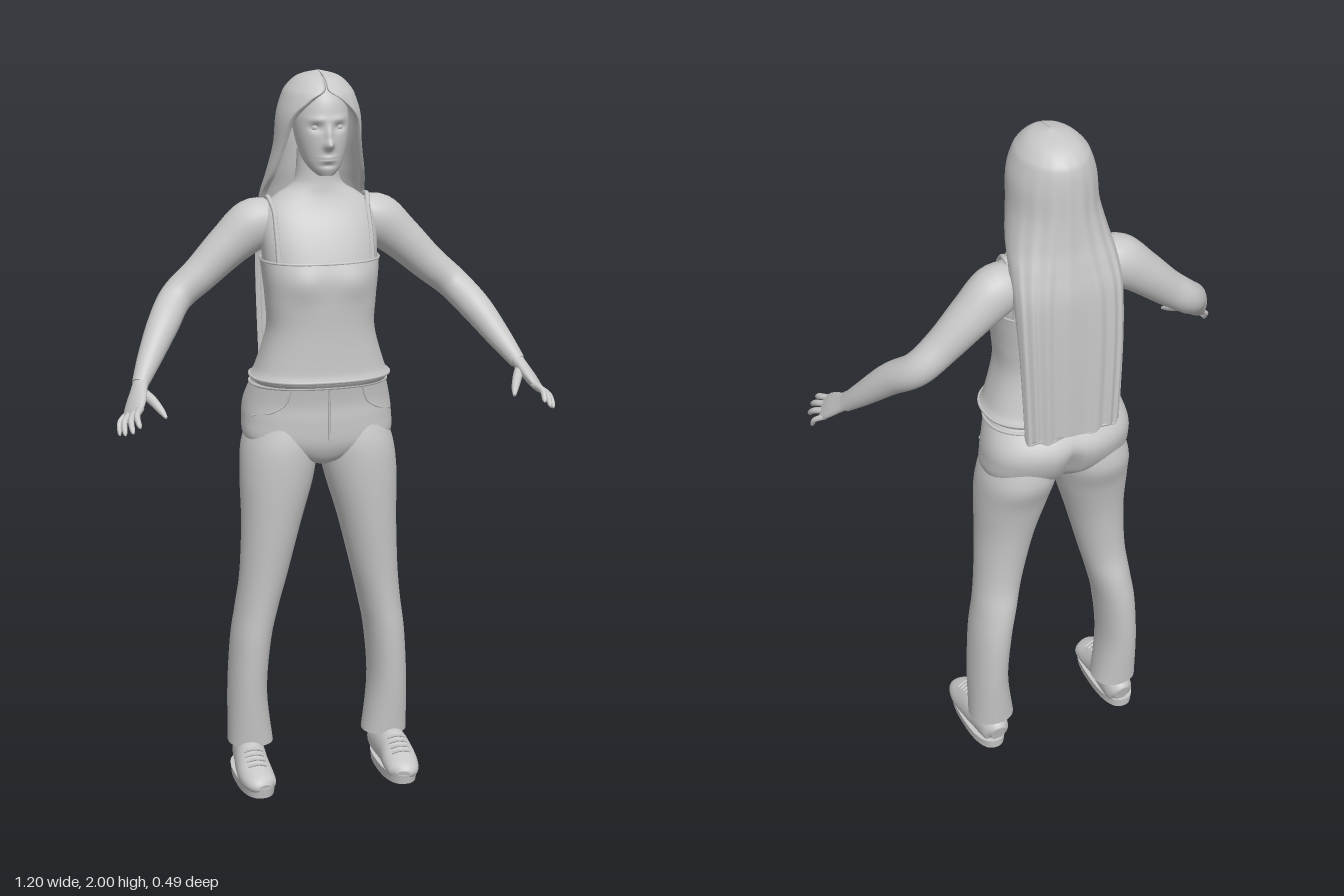
import * as THREE from 'three';

const V = (x, y, z) => new THREE.Vector3(x, y, z);
const bump = (x, y, cx, cy, sx, sy) => Math.exp(-(((x - cx) / sx) ** 2) - ((y - cy) / sy) ** 2);
const spow = (v, e) => Math.sign(v) * Math.abs(v) ** e;

// Smooth interpolation of a table of rows, t from 0 to 1
function sample(rows, t) {
  const f = Math.min(Math.max(t, 0), 1) * (rows.length - 1);
  const i = Math.min(Math.floor(f), rows.length - 2), k = f - i;
  const [a, b, c, d] = [-1, 0, 1, 2].map((o) => rows[Math.min(Math.max(i + o, 0), rows.length - 1)]);
  return b.map((_, n) => b[n] + 0.5 * k * (c[n] - a[n]
    + k * (2 * a[n] - 5 * b[n] + 4 * c[n] - d[n] + k * (3 * (b[n] - c[n]) + d[n] - a[n]))));
}

// Surface closed around u, with optional end caps
function skin(nu, nv, point, capped = true) {
  const pos = [], idx = [];
  for (let j = 0; j <= nv; j++)
    for (let i = 0; i < nu; i++) pos.push(...point(i / nu, j / nv).toArray());
  for (let j = 0; j < nv; j++)
    for (let i = 0; i < nu; i++) {
      const a = j * nu + i, b = j * nu + ((i + 1) % nu);
      idx.push(a, b, b + nu, a, b + nu, a + nu);
    }
  if (capped) for (const j of [0, nv]) {
    const ring = Array.from({ length: nu }, (_, i) => point(i / nu, j / nv));
    const base = pos.length / 3, mid = V(0, 0, 0);
    ring.forEach((p) => { mid.addScaledVector(p, 1 / nu); pos.push(...p.toArray()); });
    pos.push(...mid.toArray());
    for (let i = 0; i < nu; i++) {
      const a = base + i, b = base + ((i + 1) % nu);
      idx.push(...(j ? [a, b, base + nu] : [b, a, base + nu]));
    }
  }
  const g = new THREE.BufferGeometry();
  g.setAttribute('position', new THREE.Float32BufferAttribute(pos, 3));
  g.setIndex(idx);
  g.computeVertexNormals();
  return g;
}

// Upright loft, rows are [y, centre x, half width, front z, back z, squareness]
function ringPoint([y, cx, rx, zf, zb, p], a) {
  return V(cx + rx * spow(Math.sin(a), 2 / p), y, (zf + zb) / 2 + ((zf - zb) / 2) * spow(Math.cos(a), 2 / p));
}
const upright = (rows, nu, nv, warp = (p) => p, capped = true) =>
  skin(nu, nv, (u, v) => warp(ringPoint(sample(rows, v), u * Math.PI * 2)), capped);

// Row of an upright loft at a height, and the point on it at a given x
function rowAt(rows, y) {
  let lo = 0, hi = 1;
  for (let i = 0; i < 30; i++) {
    const m = (lo + hi) / 2;
    if (sample(rows, m)[0] < y) lo = m; else hi = m;
  }
  return sample(rows, lo);
}
function onSurface(rows, x, y, front = true) {
  const r = rowAt(rows, y), s = Math.min(Math.abs(x) / r[2], 1) ** (r[5] / 2);
  const a = Math.asin(s), p = ringPoint(r, front ? a : Math.PI - a);
  p.x *= Math.sign(x) || 1;
  return p;
}

// Limb along a path, rows are [x, y, z, radius across, radius along up]
function limb(rows, up, nu = 20, nv = 30, warp = (p) => p) {
  return skin(nu, nv, (u, v) => {
    const r = sample(rows, v), e = 0.01;
    const t = V(...sample(rows, v + e)).sub(V(...sample(rows, v - e))).normalize();
    const a = up.clone().cross(t).normalize(), b = t.clone().cross(a);
    return warp(V(r[0], r[1], r[2]).addScaledVector(a, r[3] * Math.cos(u * 2 * Math.PI))
      .addScaledVector(b, r[4] * Math.sin(u * 2 * Math.PI)));
  });
}
const cord = (pts, r, closed = false) =>
  new THREE.TubeGeometry(new THREE.CatmullRomCurve3(pts, closed), closed ? 80 : 24, r, 6, closed);

const torso = [
  [1.36, 0, 0.14, 0.06, -0.155, 2.3], [1.45, 0, 0.152, 0.063, -0.166, 2.4], [1.52, 0, 0.158, 0.045, -0.17, 2.4],
  [1.58, 0, 0.16, 0.02, -0.168, 2.3], [1.63, 0, 0.15, -0.008, -0.155, 2.2], [1.665, 0, 0.115, -0.022, -0.145, 2],
  [1.69, 0, 0.075, -0.027, -0.138, 2], [1.72, 0, 0.06, -0.03, -0.135, 2], [1.79, 0, 0.056, -0.03, -0.13, 2]];
const camisole = [
  [1.155, 0, 0.182, 0.06, -0.188, 2.4], [1.172, 0, 0.192, 0.069, -0.194, 2.4], [1.2, 0, 0.178, 0.065, -0.185, 2.4],
  [1.3, 0, 0.149, 0.063, -0.165, 2.4], [1.38, 0, 0.151, 0.066, -0.165, 2.4], [1.45, 0, 0.158, 0.068, -0.172, 2.4],
  [1.5, 0, 0.163, 0.055, -0.176, 2.4]];
const head = [
  [1.73, 0, 0.022, 0.034, -0.01, 2], [1.75, 0, 0.043, 0.043, -0.06, 2], [1.78, 0, 0.058, 0.046, -0.1, 2.1],
  [1.83, 0, 0.07, 0.048, -0.13, 2.2], [1.88, 0, 0.074, 0.046, -0.15, 2.2], [1.93, 0, 0.067, 0.034, -0.16, 2.1],
  [1.965, 0, 0.048, 0.004, -0.135, 2], [1.983, 0, 0.01, -0.05, -0.08, 2]];
const pelvis = [
  [0.925, 0, 0.03, 0, -0.1, 2], [0.95, 0, 0.13, 0.02, -0.155, 2.1], [0.99, 0, 0.203, 0.034, -0.2, 2.3],
  [1.05, 0, 0.21, 0.037, -0.23, 2.3], [1.1, 0, 0.204, 0.036, -0.23, 2.3], [1.16, 0, 0.187, 0.044, -0.19, 2.3],
  [1.178, 0, 0.184, 0.044, -0.184, 2.3]];
const leg = [
  [0.095, 0.197, 0.064, -0.025, -0.152, 2.2], [0.25, 0.205, 0.055, -0.01, -0.165, 2.1],
  [0.4, 0.195, 0.056, 0, -0.17, 2.1], [0.5, 0.178, 0.06, 0.003, -0.163, 2], [0.6, 0.16, 0.067, 0.01, -0.147, 2],
  [0.75, 0.138, 0.083, 0.025, -0.155, 2], [0.88, 0.12, 0.102, 0.034, -0.18, 2.1],
  [0.97, 0.109, 0.105, 0.034, -0.21, 2.1], [1.04, 0.1, 0.09, 0.02, -0.205, 2]];
const arm = [
  [0.11, 1.595, -0.1, 0.05, 0.055], [0.17, 1.585, -0.105, 0.07, 0.065], [0.24, 1.53, -0.108, 0.06, 0.06],
  [0.32, 1.455, -0.105, 0.05, 0.05], [0.39, 1.395, -0.095, 0.045, 0.047], [0.44, 1.335, -0.03, 0.043, 0.043],
  [0.49, 1.26, 0.035, 0.033, 0.033], [0.525, 1.205, 0.085, 0.022, 0.025]];
const palm = [
  [0.515, 1.22, 0.07, 0.022, 0.02], [0.528, 1.2, 0.095, 0.026, 0.018], [0.545, 1.17, 0.135, 0.037, 0.016],
  [0.557, 1.15, 0.16, 0.038, 0.012], [0.562, 1.143, 0.17, 0.03, 0.007]];
const fingerTips = [[0.552, 1.125, 0.24], [0.57, 1.11, 0.235], [0.587, 1.1, 0.212], [0.595, 1.09, 0.172]];
const shoe = [
  [0.2, 0.05, -0.15, 0.02, 0.03], [0.2, 0.055, -0.13, 0.04, 0.05], [0.205, 0.055, -0.06, 0.045, 0.06],
  [0.21, 0.05, -0.01, 0.047, 0.055], [0.21, 0.038, 0.05, 0.05, 0.04], [0.205, 0.032, 0.1, 0.042, 0.028],
  [0.2, 0.028, 0.12, 0.02, 0.012]];
// Hair rows: y, centre z, half width, half depth, face opening angle, squareness
const hair = [
  [1.15, -0.2, 0.137, 0.037, 1.65, 3], [1.3, -0.198, 0.143, 0.042, 1.63, 3], [1.45, -0.19, 0.148, 0.05, 1.6, 3],
  [1.58, -0.17, 0.15, 0.066, 1.55, 2.8], [1.66, -0.14, 0.145, 0.082, 1.42, 2.4], [1.72, -0.105, 0.135, 0.105, 1.28, 2.2],
  [1.8, -0.08, 0.12, 0.122, 1.15, 2], [1.88, -0.072, 0.114, 0.125, 0.88, 2], [1.93, -0.073, 0.1, 0.118, 0.42, 2],
  [1.957, -0.074, 0.086, 0.104, 0.02, 2], [1.985, -0.072, 0.055, 0.068, 0, 2], [2.0, -0.07, 0.004, 0.004, 0, 2]];

// Nose, brow, eye sockets, lips and chin
function faceWarp(p) {
  if (p.z < -0.03) return p;
  const x = Math.abs(p.x), y = p.y;
  p.z += 0.023 * bump(x, y, 0, 1.815, 0.012, 0.013) + 0.013 * bump(x, y, 0, 1.84, 0.009, 0.024)
    - 0.011 * bump(x, y, 0.032, 1.86, 0.017, 0.011) + 0.004 * bump(x, y, 0.03, 1.882, 0.025, 0.008)
    + 0.007 * bump(x, y, 0, 1.777, 0.02, 0.008) - 0.004 * bump(x, y, 0, 1.777, 0.024, 0.0025)
    - 0.004 * bump(x, y, 0, 1.759, 0.02, 0.006);
  return p;
}

function hairPoint(u, v) {
  const [y, cz, rx, rz, open, sq] = sample(hair, v);
  const outer = u < 0.5, k = outer ? u * 2 : 2 - u * 2, o = Math.max(open, 0);
  const a = o + k * (2 * Math.PI - 2 * o), inset = outer ? 0 : 0.012;
  const strands = outer ? 0.004 * Math.sin(a * 17) * Math.min(1, (2 - y) * 2.5) : 0;
  const x = Math.max(rx - inset, 0.001), z = Math.max(rz - inset, 0.001) + strands;
  return V(x * spow(Math.sin(a), 2 / sq), y + (v === 0 ? 0.008 * Math.sin(a * 9) : 0), cz + z * spow(Math.cos(a), 2 / sq));
}

export function createModel() {
  const model = new THREE.Group();
  const grey = new THREE.MeshStandardMaterial({ color: 0xc8c8c8, side: THREE.DoubleSide });
  grey.name = 'plain grey';
  const add = (name, geometry) => {
    const m = new THREE.Mesh(geometry, grey);
    m.name = name;
    model.add(m);
    return m;
  };
  const loop = (rows, y, grow) => Array.from({ length: 32 }, (_, i) => {
    const r = rowAt(rows, y);
    r[2] += grow; r[3] += grow; r[4] -= grow;
    return ringPoint(r, (i / 32) * Math.PI * 2);
  });

  // Head and hair
  add('head', upright(head, 96, 90, faceWarp));
  add('hair', skin(180, 70, hairPoint));

  // Upper body and clothing
  add('torso', upright(torso, 48, 40));
  add('camisole', upright(camisole, 56, 40, (p) => {
    if (p.z > -0.02) p.z += 0.008 * bump(Math.abs(p.x), p.y, 0.07, 1.44, 0.04, 0.045);
    return p;
  }, false));
  add('camisoleHem', cord(loop(camisole, 1.172, 0), 0.005, true));
  add('neckline', cord(loop(camisole, 1.495, -0.001), 0.004, true));

  // Trousers
  add('trouserSeat', upright(pelvis, 56, 36, (p) => {
    if (p.z < -0.1) p.z += 0.03 * bump(p.x, p.y, 0, 1.02, 0.022, 0.07);
    return p;
  }));
  add('waistband', cord(loop(pelvis, 1.15, 0), 0.005, true));
  add('fly', cord([1.15, 1.1, 1.05, 1.0].map((y) => onSurface(pelvis, 0.004, y)), 0.003));

  for (const s of [1, -1]) {
    const side = s > 0 ? 'left' : 'right';
    const flip = (rows) => rows.map(([x, ...rest]) => [x * s, ...rest]);
    const handUp = V(0.73 * s, 0.67, 0.15).normalize();

    const eye = add(side + 'Eye', new THREE.SphereGeometry(0.011, 16, 12));
    eye.position.set(0.032 * s, 1.86, 0.023);

    // Strap over the shoulder
    const strap = [1.49, 1.54, 1.59, 1.63].map((y) => onSurface(torso, 0.13 * s, y));
    strap.push(V(0.138 * s, 1.662, -0.085));
    strap.push(...[1.63, 1.56, 1.49].map((y) => onSurface(torso, 0.13 * s, y, false)));
    add(side + 'Strap', cord(strap, 0.007));

    // Arm, palm, fingers and thumb
    add(side + 'Arm', limb(flip(arm), V(0, 0, 1), 24, 40));
    add(side + 'Palm', limb(flip(palm), handUp, 20, 20));
    fingerTips.forEach((tip, i) => {
      const k = i / 3, base = V(0.54 + 0.03 * k, 1.162 - 0.024 * k, 0.176 - 0.042 * k);
      const end = V(...tip), r = i === 3 ? 0.008 : 0.0095;
      const rows = [[0, r], [0.5, r * 0.9], [0.9, r * 0.7], [1, r * 0.2]].map(([t, w]) => {
        const p = base.clone().lerp(end, t);
        return [p.x + 0.01 * t * (1 - t) * 4, p.y + 0.008 * t * (1 - t) * 4, p.z, w, w];
      });
      add(side + 'Finger' + (i + 1), limb(flip(rows), handUp, 10, 12));
    });
    add(side + 'Thumb', limb(flip([[0.525, 1.19, 0.105, 0.013, 0.013], [0.505, 1.175, 0.145, 0.013, 0.013],
      [0.488, 1.155, 0.18, 0.01, 0.01], [0.478, 1.14, 0.205, 0.004, 0.004]]), handUp, 12, 14));

    // Trouser leg and pocket seams
    add(side + 'TrouserLeg', upright(leg.map(([y, x, ...r]) => [y, x * s, ...r]), 36, 50));
    add(side + 'PocketSeam', cord([[0.1, 1.145], [0.115, 1.105], [0.15, 1.08], [0.195, 1.065]]
      .map(([x, y]) => onSurface(pelvis, x * s, y)), 0.003));

    // Shoe with sole and laces
    add(side + 'Shoe', limb(flip(shoe), V(0, 1, 0), 28, 30, (p) => p.setY(Math.max(p.y, 0.012))));
    add(side + 'Sole', upright([[0, 0.207 * s, 0.05, 0.12, -0.15, 2.5], [0.028, 0.207 * s, 0.053, 0.125, -0.153, 2.5]], 40, 2));
    for (let i = 0; i < 4; i++) {
      const z = 0.005 + i * 0.018, y = 0.104 - i * 0.008;
      add(side + 'Lace' + (i + 1), cord([V(0.182 * s, y - 0.008, z), V(0.21 * s, y, z + 0.006), V(0.236 * s, y - 0.008, z)], 0.004));
    }
  }
  return model;
}
